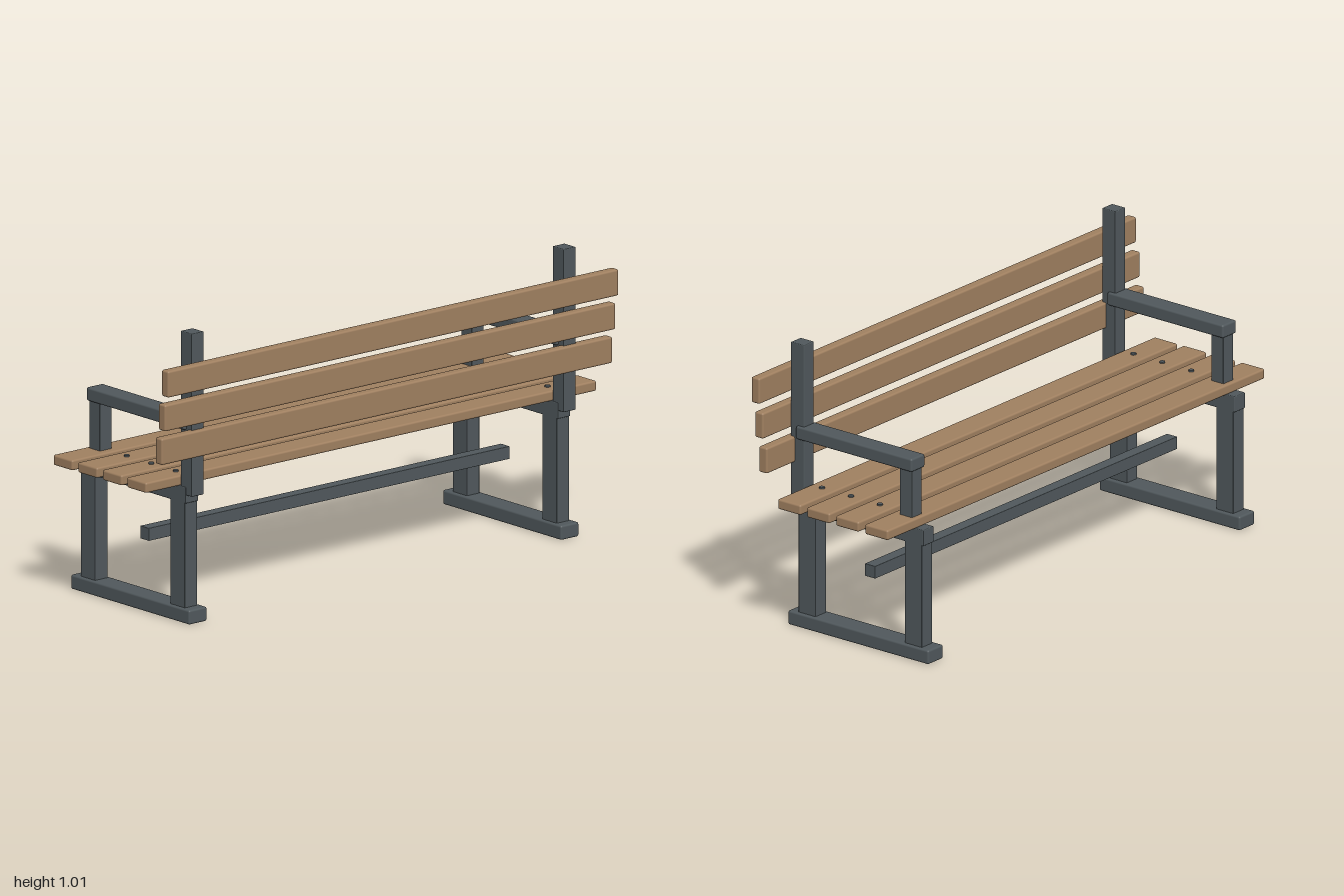
import * as THREE from 'three';
import { RoundedBoxGeometry } from 'three/addons/geometries/RoundedBoxGeometry.js';

export function createModel() {
  const bench = new THREE.Group();
  bench.name = 'bench';
  const wood = new THREE.MeshStandardMaterial({ color: 0xa08060 });
  wood.name = 'wood';
  const steel = new THREE.MeshStandardMaterial({ color: 0x50585c });
  steel.name = 'steel';

  // Softly edged bar given by its centre x, width, y range and z range
  function bar(parent, name, material, x, width, y0, y1, z0, z1, radius = 0.005) {
    const geometry = new RoundedBoxGeometry(width, y1 - y0, z1 - z0, 2, radius);
    const mesh = new THREE.Mesh(geometry, material);
    mesh.name = name;
    mesh.position.set(x, (y0 + y1) / 2, (z0 + z1) / 2);
    parent.add(mesh);
  }

  const slatZ = [0.167, 0.041, -0.085, -0.212];

  // Two mirrored end frames
  for (const side of [1, -1]) {
    const frame = new THREE.Group();
    frame.name = side > 0 ? 'leftFrame' : 'rightFrame';
    frame.position.x = 0.825 * side;
    bar(frame, 'foot', steel, 0, 0.08, 0, 0.05, -0.328, 0.283, 0.007);
    bar(frame, 'frontLeg', steel, 0, 0.056, 0.045, 0.42, 0.172, 0.246, 0.002);
    bar(frame, 'backLeg', steel, 0, 0.056, 0.045, 0.42, -0.29, -0.216, 0.002);
    bar(frame, 'seatRail', steel, 0, 0.056, 0.414, 0.471, -0.296, 0.251, 0.003);
    bar(frame, 'backrestPost', steel, 0, 0.053, 0.443, 1.011, 0.223, 0.281, 0.003);
    bar(frame, 'armPost', steel, 0, 0.053, 0.468, 0.675, -0.246, -0.193, 0.002);
    bar(frame, 'armrest', steel, 0, 0.072, 0.671, 0.718, -0.252, 0.253, 0.007);

    // Bolt heads on the seat slats
    for (const z of slatZ) {
      const bolt = new THREE.Mesh(new THREE.CylinderGeometry(0.01, 0.01, 0.008, 12), steel);
      bolt.name = 'bolt';
      bolt.position.set(0, 0.506, z);
      frame.add(bolt);
    }
    bench.add(frame);
  }

  // Stretcher between the frames
  bar(bench, 'stretcher', steel, 0, 1.6, 0.223, 0.267, -0.044, 0, 0.001);

  // Seat slats
  for (const z of slatZ) bar(bench, 'seatSlat', wood, 0, 2, 0.469, 0.505, z - 0.05, z + 0.05, 0.007);

  // Backrest slats, leaning outward as they rise
  const backSlats = [[0.629, 0.281], [0.75, 0.298], [0.871, 0.314]];
  for (const [y, z] of backSlats) {
    bar(bench, 'backrestSlat', wood, 0, 2, y - 0.046, y + 0.046, z - 0.018, z + 0.018, 0.007);
  }
  return bench;
}
